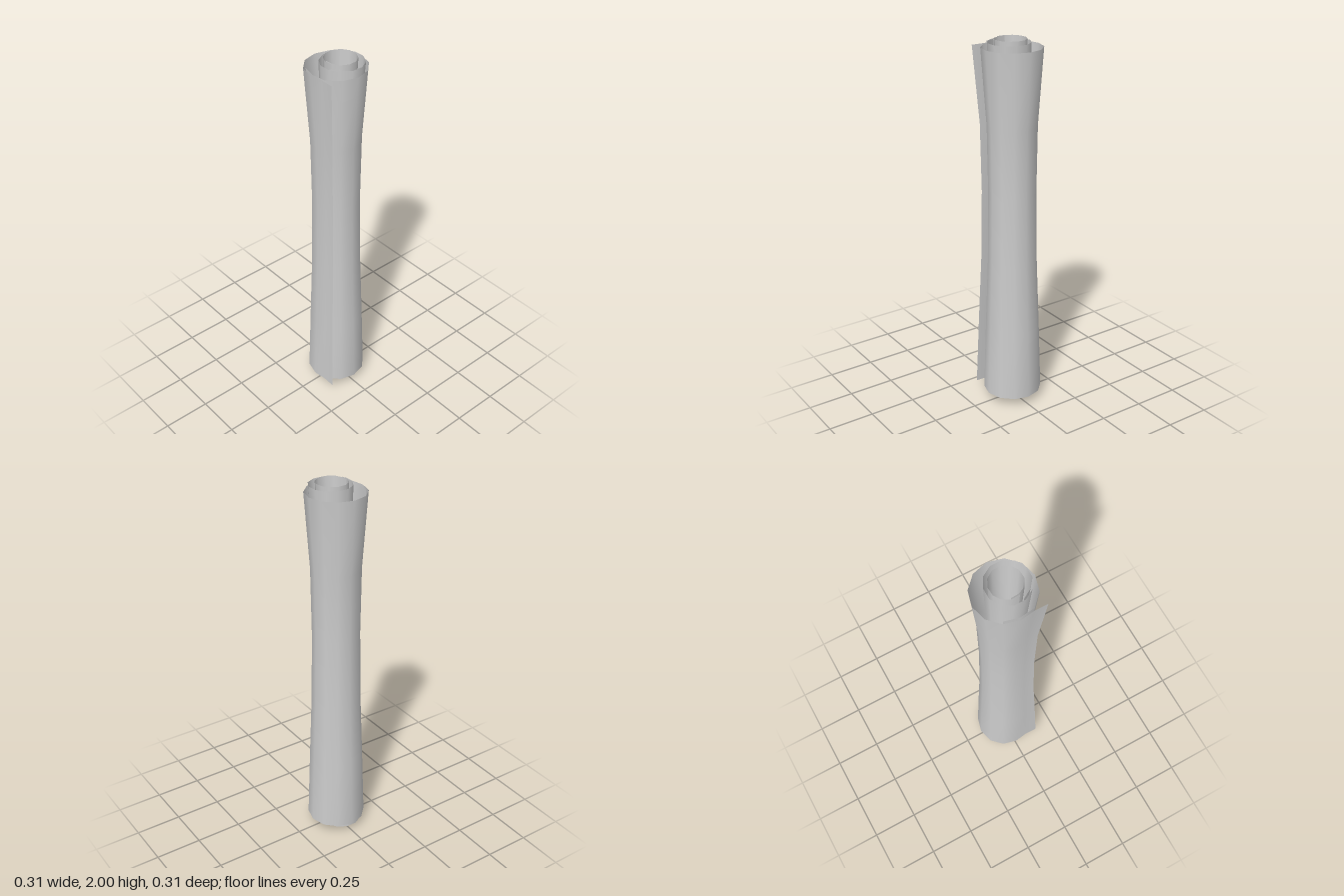
import * as THREE from 'three';

const material = new THREE.MeshStandardMaterial({ color: 0xcccccc, side: THREE.DoubleSide });

// Height fraction and relative width: flared ends, narrow waist
const profile = [[0, 1], [0.2, 0.92], [0.4, 0.83], [0.6, 0.795], [0.79, 0.825], [1, 1]];

// Plan outline of one turn of the sheet with a 12-sided curl, starting at angle `start`
function curl(radius, start, lead = [], overlap = 0.92) {
  const points = lead.map(p => new THREE.Vector2(...p));
  for (let i = 0; i <= 13; i++) {
    const a = start + i * Math.PI / 6;
    const r = radius * (i < 12 ? 1 : overlap);
    points.push(new THREE.Vector2(r * Math.cos(a), r * Math.sin(a)));
  }
  return points;
}

// Sweep the outline up the height, leaning from one end to the other
function rolledSheet(name, outline, y0, y1, leanX = 0, leanZ = 0) {
  const positions = [], indices = [], n = outline.length;
  profile.forEach(([t, width], row) => {
    const lean = t * 2 - 1;
    outline.forEach((p, i) => {
      positions.push(p.x * width + leanX * lean, y0 + (y1 - y0) * t, p.y * width + leanZ * lean);
      if (row && i) {
        const d = row * n + i, c = d - 1, b = d - n, a = b - 1;
        indices.push(a, c, b, b, c, d);
      }
    });
  });
  const geometry = new THREE.BufferGeometry();
  geometry.setAttribute('position', new THREE.Float32BufferAttribute(positions, 3));
  geometry.setIndex(indices);
  geometry.computeVertexNormals();
  const mesh = new THREE.Mesh(geometry, material);
  mesh.name = name;
  return mesh;
}

export function createModel() {
  const group = new THREE.Group();
  group.name = 'rolledScroll';
  // Outer turn with its loose edge sticking out at the front left
  const looseEdge = [[0.14, 0.148], [0.07, 0.147]];
  group.add(rolledSheet('outerTurn', curl(0.157, Math.PI / 2, looseEdge), 0.05, 1.955));
  // Inner turns lean slightly inside the outer one
  group.add(rolledSheet('middleTurn', curl(0.111, Math.PI / 4), 0.022, 1.985, 0.028, -0.013));
  group.add(rolledSheet('innerTurn', curl(0.083, Math.PI * 0.4), 0, 2, 0.018, -0.012));
  return group;
}
